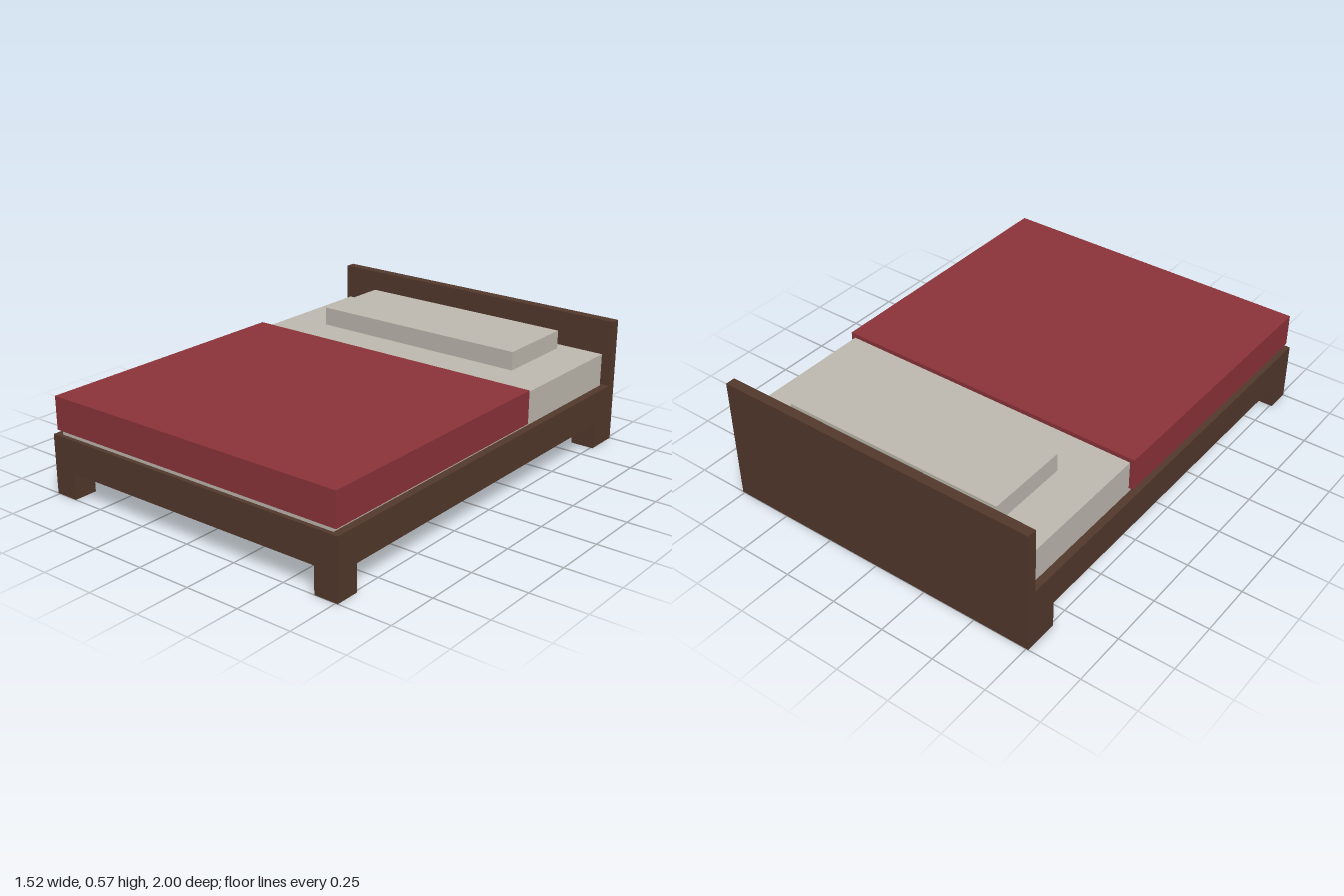
import * as THREE from 'three';

const material = (name, color) => {
  const m = new THREE.MeshStandardMaterial({ color });
  m.name = name;
  return m;
};

export function createModel() {
  const wood = material('dark wood', 0x54392d);
  const linen = material('linen', 0xc0bbb1);
  const red = material('red blanket', 0x8d343a);

  const bed = new THREE.Group();
  bed.name = 'bed';

  // Box given by its lower and upper limits on each axis
  const box = (name, mat, [x0, x1], [y0, y1], [z0, z1]) => {
    const mesh = new THREE.Mesh(new THREE.BoxGeometry(x1 - x0, y1 - y0, z1 - z0), mat);
    mesh.position.set((x0 + x1) / 2, (y0 + y1) / 2, (z0 + z1) / 2);
    mesh.name = name;
    bed.add(mesh);
  };

  // Wooden frame and headboard
  box('frame', wood, [-0.76, 0.76], [0.12, 0.27], [-0.955, 1]);
  box('headboard', wood, [-0.76, 0.76], [0, 0.573], [-1, -0.955]);

  // Square corner legs, mirrored left and right
  for (const [side, x] of [['left', [0.65, 0.76]], ['right', [-0.76, -0.65]]]) {
    box(`${side}FrontLeg`, wood, x, [0, 0.12], [0.89, 1]);
    box(`${side}BackLeg`, wood, x, [0, 0.12], [-0.955, -0.84]);
  }

  // Bedding
  box('mattress', linen, [-0.725, 0.725], [0.27, 0.42], [-0.935, 0.98]);
  box('pillow', linen, [-0.525, 0.525], [0.42, 0.505], [-0.88, -0.495]);
  box('blanket', red, [-0.745, 0.745], [0.29, 0.44], [-0.285, 0.99]);

  return bed;
}
